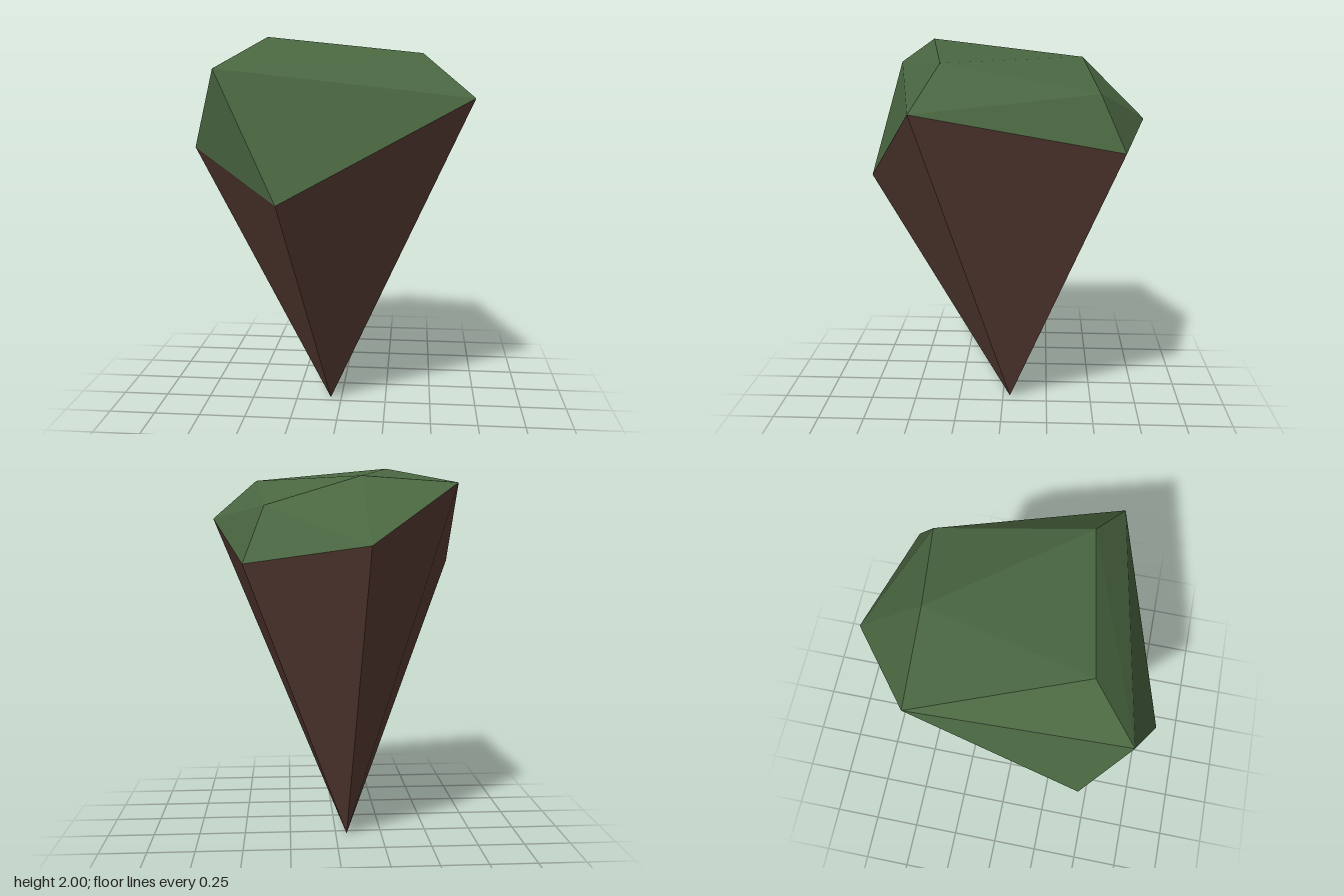
import * as THREE from 'three';

// Named corners of the faceted floating rock
const P = {
  tip: [-0.06, 0, -0.04],
  // rim where rock meets moss
  a: [-0.23, 1.26, 0.74], b: [0.67, 1.72, 0.39], c: [0.46, 1.515, -0.6],
  d: [-0.12, 1.6, -0.74], e: [-0.57, 1.89, -0.385], f: [-0.67, 1.48, 0.41],
  // crown of the moss
  g: [-0.53, 1.86, 0.6], t: [-0.31, 2, 0.385], j: [0.42, 1.925, 0.27],
  i: [0.36, 1.78, -0.48], h: [-0.1, 1.92, -0.41],
};
const centre = new THREE.Vector3(0, 1.4, 0);

// Builds flat triangles, each turned to face away from the centre
function facets(name, triangles, material) {
  const points = [];
  for (const names of triangles) {
    const [p, q, r] = names.map((n) => new THREE.Vector3(...P[n]));
    const tri = new THREE.Triangle(p, q, r);
    const outward = tri.getNormal(new THREE.Vector3()).dot(p.clone().sub(centre)) > 0;
    points.push(...(outward ? [p, q, r] : [p, r, q]));
  }
  const geometry = new THREE.BufferGeometry().setFromPoints(points);
  geometry.computeVertexNormals();
  const mesh = new THREE.Mesh(geometry, material);
  mesh.name = name;
  return mesh;
}

export function createModel() {
  const moss = new THREE.MeshStandardMaterial({ name: 'moss green', color: 0x4a6741, flatShading: true });
  const earth = new THREE.MeshStandardMaterial({ name: 'earth brown', color: 0x5d4037, flatShading: true });
  const group = new THREE.Group();
  group.name = 'floatingRock';

  // Pointed underside: a fan from the tip to the rim
  const rim = ['a', 'b', 'c', 'd', 'e', 'f'];
  const fan = rim.map((n, k) => ['tip', n, rim[(k + 1) % rim.length]]);
  group.add(facets('rockUnderside', fan, earth));

  // Mossy cap: front, left side, top, right side and back facets
  const cap = ['abg', 'gbj', 'gjt', 'afg', 'feg', 'get', 'eht', 'tjh', 'jih', 'jbi', 'bci', 'cdi', 'dhi', 'deh'];
  group.add(facets('mossCap', cap.map((s) => s.split('')), moss));
  return group;
}
